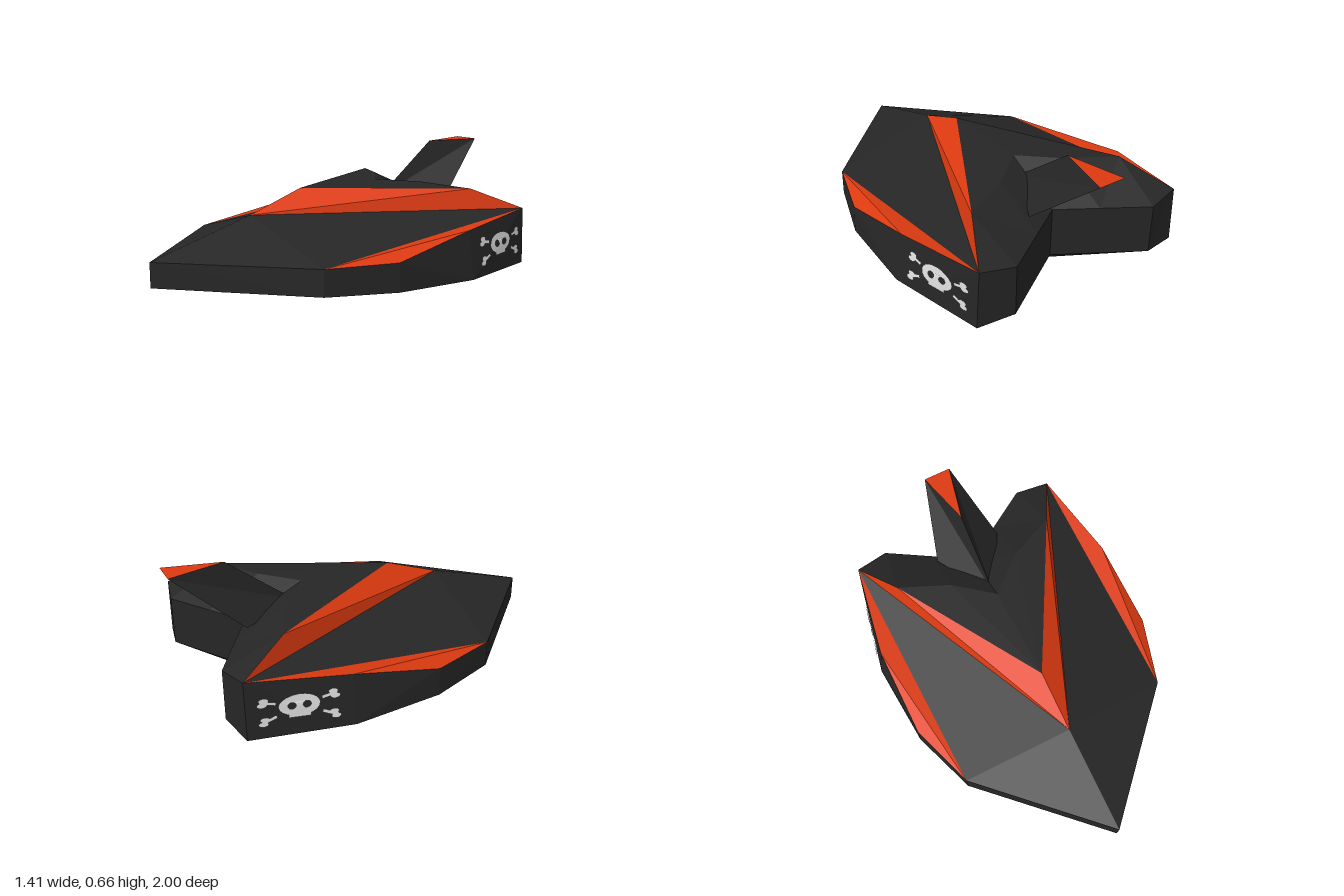
import * as THREE from 'three';

const black = new THREE.MeshStandardMaterial({ color: 0x262626 });
black.name = 'charcoal';
const orange = new THREE.MeshStandardMaterial({ color: 0xdd3a10 });
orange.name = 'orange';
const pale = new THREE.MeshStandardMaterial({ color: 0xe0e0e0 });
pale.name = 'pale grey';

// Flat-faceted mesh from polygons of the left half, mirrored to the right,
// with every triangle turned away from an inner point.
function panels(name, material, points, faces, inner) {
  const out = [];
  for (const side of [1, -1]) {
    const v = (k) => new THREE.Vector3(points[k][0] * side, points[k][1], points[k][2]);
    const core = new THREE.Vector3(inner[0] * side, inner[1], inner[2]);
    for (const face of faces) {
      const keys = face.split(' ');
      for (let i = 1; i < keys.length - 1; i++) {
        const [a, b, c] = [v(keys[0]), v(keys[i]), v(keys[i + 1])];
        const n = b.clone().sub(a).cross(c.clone().sub(a));
        const tri = n.dot(a.clone().sub(core)) > 0 ? [a, b, c] : [a, c, b];
        tri.forEach((p) => out.push(p.x, p.y, p.z));
      }
    }
  }
  const geo = new THREE.BufferGeometry();
  geo.setAttribute('position', new THREE.Float32BufferAttribute(out, 3));
  geo.computeVertexNormals();
  const mesh = new THREE.Mesh(geo, material);
  mesh.name = name;
  return mesh;
}

// Named hull corners on the left half
const H = {
  nose: [0, 0.22, 1], noseLow: [0, 0.097, 1],
  bow: [0.565, 0.22, 0.425], bowLow: [0.565, 0.09, 0.425],
  mid: [0.675, 0.22, 0.08], midLow: [0.68, 0.08, 0.08],
  wide: [0.667, 0.31, -0.37], wideLow: [0.705, 0.07, -0.37],
  rear: [0.577, 0.35, -0.85], rearLow: [0.588, 0.06, -0.85],
  tail: [0.405, 0.33, -0.885], tailLow: [0.405, 0.075, -0.885],
  notch: [0, 0.33, -0.63], notchLow: [0, 0.07, -0.63], edge: [0.19, 0.33, -0.75],
  brow: [0, 0.375, 0.465], crown: [0, 0.48, 0.17], shoulder: [0.44, 0.46, -0.6],
  dip: [0.19, 0.475, -0.48], ridge: [0, 0.48, -0.32],
  keel: [0, 0, -0.54], keelFront: [0, 0.08, 0.15],
};
const hullCore = [0.3, 0.2, -0.3];

// Fin corners: a leaning triangular blade
const F = {
  front: [0, 0.385, -0.36], back: [0.18, 0.385, -0.68], middle: [0, 0.385, -0.68],
  topFront: [0, 0.66, -0.71], topBack: [0.07, 0.66, -1], topMiddle: [0, 0.66, -1],
};
const finCore = [0.02, 0.5, -0.68];

// Skull-and-bones emblem laid on the rear side panel
function emblem(side) {
  const disc = (x, y, rx, ry) => new THREE.Shape().absellipse(x, y, rx, ry, 0, Math.PI * 2);
  const bar = (x0, y0, x1, y1, h) => {
    const d = new THREE.Vector2(y0 - y1, x1 - x0).setLength(h);
    return new THREE.Shape([
      new THREE.Vector2(x0 - d.x, y0 - d.y), new THREE.Vector2(x1 - d.x, y1 - d.y),
      new THREE.Vector2(x1 + d.x, y1 + d.y), new THREE.Vector2(x0 + d.x, y0 + d.y),
    ]);
  };
  const head = disc(0, 0, 0.092, 0.053);
  for (const s of [1, -1]) {
    head.holes.push(new THREE.Path().absellipse(0.033 * s, 0, 0.018, 0.016, 0, Math.PI * 2));
  }
  const shapes = [head, bar(-0.048, -0.043, 0.048, -0.043, 0.016)];
  for (const s of [1, -1]) {
    for (const [x, y] of [[0.153, 0.029], [0.15, -0.066]]) {
      shapes.push(bar(s * x * 0.66, y * 0.66, s * x, y, 0.008));
      shapes.push(disc(s * x, y + 0.011, 0.022, 0.013), disc(s * (x + 0.008), y - 0.011, 0.022, 0.013));
    }
  }
  const geo = new THREE.ShapeGeometry(shapes, 10);

  // Wrap the flat shape over the two facets of the panel
  const facets = [['wide', 'rear', 'wideLow'], ['rear', 'rearLow', 'wideLow']].map((f) =>
    new THREE.Plane().setFromCoplanarPoints(...f.map((k) => new THREE.Vector3(...H[k]))));
  const depth = (y, z) => Math.min(...facets.map((p) =>
    -(p.constant + p.normal.y * y + p.normal.z * z) / p.normal.x));
  const pos = geo.attributes.position;
  for (let i = 0; i < pos.count; i++) {
    const y = 0.212 + pos.getY(i);
    const u = pos.getX(i);
    pos.setXYZ(i, side * (depth(y, -0.62 - side * u) + 0.006), y, -0.62 - side * u);
  }
  geo.computeVertexNormals();
  const mesh = new THREE.Mesh(geo, pale);
  mesh.name = side > 0 ? 'leftEmblem' : 'rightEmblem';
  return mesh;
}

export function createModel() {
  const model = new THREE.Group();
  model.name = 'wedgeCraft';

  model.add(
    panels('foredeck', black, H, ['nose bow brow', 'bow rear brow'], hullCore),
    panels('chevronStripe', orange, H, ['brow rear shoulder crown'], hullCore),
    panels('sideStripes', orange, H, ['bow mid wide', 'bow wide rear'], hullCore),
    panels('upperDeck', black, H, [
      'dip ridge crown shoulder', 'shoulder rear tail', 'shoulder tail edge dip',
      'dip edge notch', 'ridge dip notch',
    ], hullCore),
    panels('sides', black, H, [
      'nose bow bowLow noseLow', 'bow mid midLow bowLow', 'mid wide wideLow midLow',
      'wide rear wideLow', 'rear rearLow wideLow',
    ], hullCore),
    panels('sternWall', black, H, [
      'rear tail tailLow rearLow', 'notch notchLow tailLow tail edge',
      'tailLow rearLow keel notchLow',
    ], hullCore),
    panels('underside', black, H, [
      'noseLow bowLow keelFront', 'keelFront bowLow midLow wideLow keel', 'keel wideLow rearLow',
    ], hullCore),
    panels('tailFin', black, F, [
      'front back topBack topFront', 'back middle topMiddle topBack', 'front back middle',
    ], finCore),
    panels('finTip', orange, F, ['topFront topBack topMiddle'], finCore),
    emblem(1),
    emblem(-1),
  );
  return model;
}
